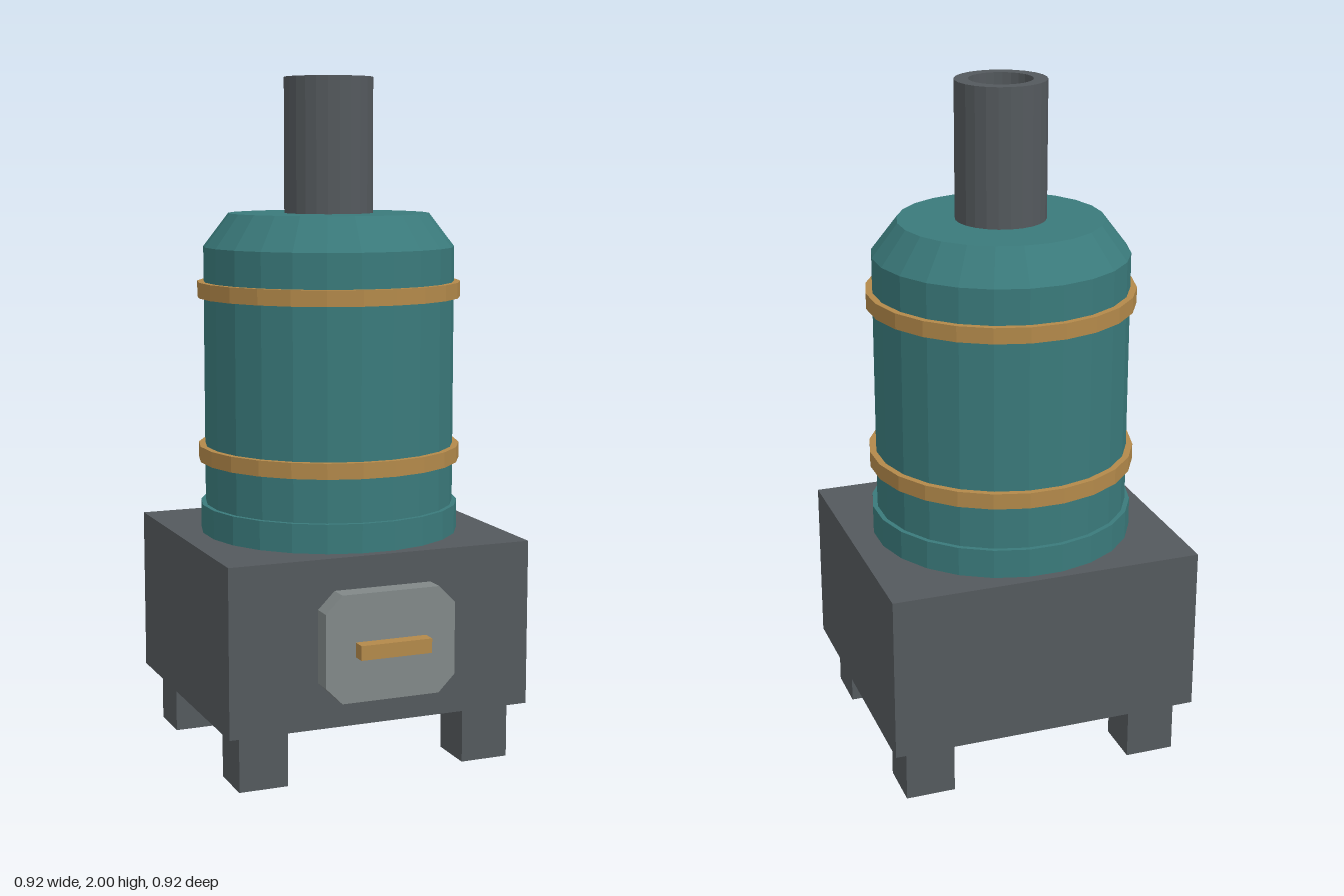
import * as THREE from 'three';

const mat = (color) => new THREE.MeshStandardMaterial({ color, flatShading: true });

export function createModel() {
  const model = new THREE.Group();
  model.name = 'boilerStove';
  const iron = mat(0x54595d), teal = mat(0x3a7a7b), brass = mat(0xb3894a), steel = mat(0x818888);
  const axisZ = -0.05; // the drum and pipe stand over the middle of the firebox
  const sides = 24;

  const add = (name, geometry, material, x, y, z) => {
    const mesh = new THREE.Mesh(geometry, material);
    mesh.name = name;
    mesh.position.set(x, y, z);
    model.add(mesh);
  };
  const box = (name, material, w, h, d, x, y, z) =>
    add(name, new THREE.BoxGeometry(w, h, d), material, x, y, z);
  // Turned part with a flat facing the front
  const turned = (name, material, profile) => {
    const points = profile.map(([r, y]) => new THREE.Vector2(r, y));
    add(name, new THREE.LatheGeometry(points, sides, Math.PI / sides), material, 0, 0, axisZ);
  };

  // Firebox on four square legs
  box('firebox', iron, 0.924, 0.49, 0.824, 0, 0.415, axisZ);
  for (const sx of [-1, 1]) {
    for (const sz of [-1, 1]) {
      box('leg', iron, 0.146, 0.17, 0.146, sx * 0.347, 0.085, axisZ + sz * 0.298);
    }
  }

  // Door with cut corners, and its handle
  const w = 0.198, h = 0.156, c = 0.05;
  const outline = [
    [w, -h + c], [w, h - c], [w - c, h], [-w + c, h],
    [-w, h - c], [-w, -h + c], [-w + c, -h], [w - c, -h],
  ].map(([x, y]) => new THREE.Vector2(x, y));
  add('door', new THREE.ExtrudeGeometry(new THREE.Shape(outline), { depth: 0.06, bevelEnabled: false }),
    steel, 0, 0.411, 0.361);
  box('doorHandle', brass, 0.216, 0.042, 0.042, 0, 0.408, 0.441);

  // Drum with a collar at the foot and a sloping shoulder
  turned('drumCollar', teal, [[0, 0.66], [0.386, 0.66], [0.386, 0.745], [0.37, 0.745]]);
  turned('drum', teal, [[0.372, 0.66], [0.372, 1.507], [0.297, 1.605], [0, 1.605]]);

  // Brass hoops
  for (const y of [0.897, 1.382]) {
    const b = y - 0.023, t = y + 0.023;
    turned('hoop', brass, [[0.365, b], [0.391, b], [0.391, t], [0.365, t], [0.365, b]]);
  }

  // Hollow chimney pipe
  turned('chimney', iron, [[0.131, 1.6], [0.131, 2], [0.091, 2], [0.091, 1.62], [0, 1.62]]);

  return model;
}
